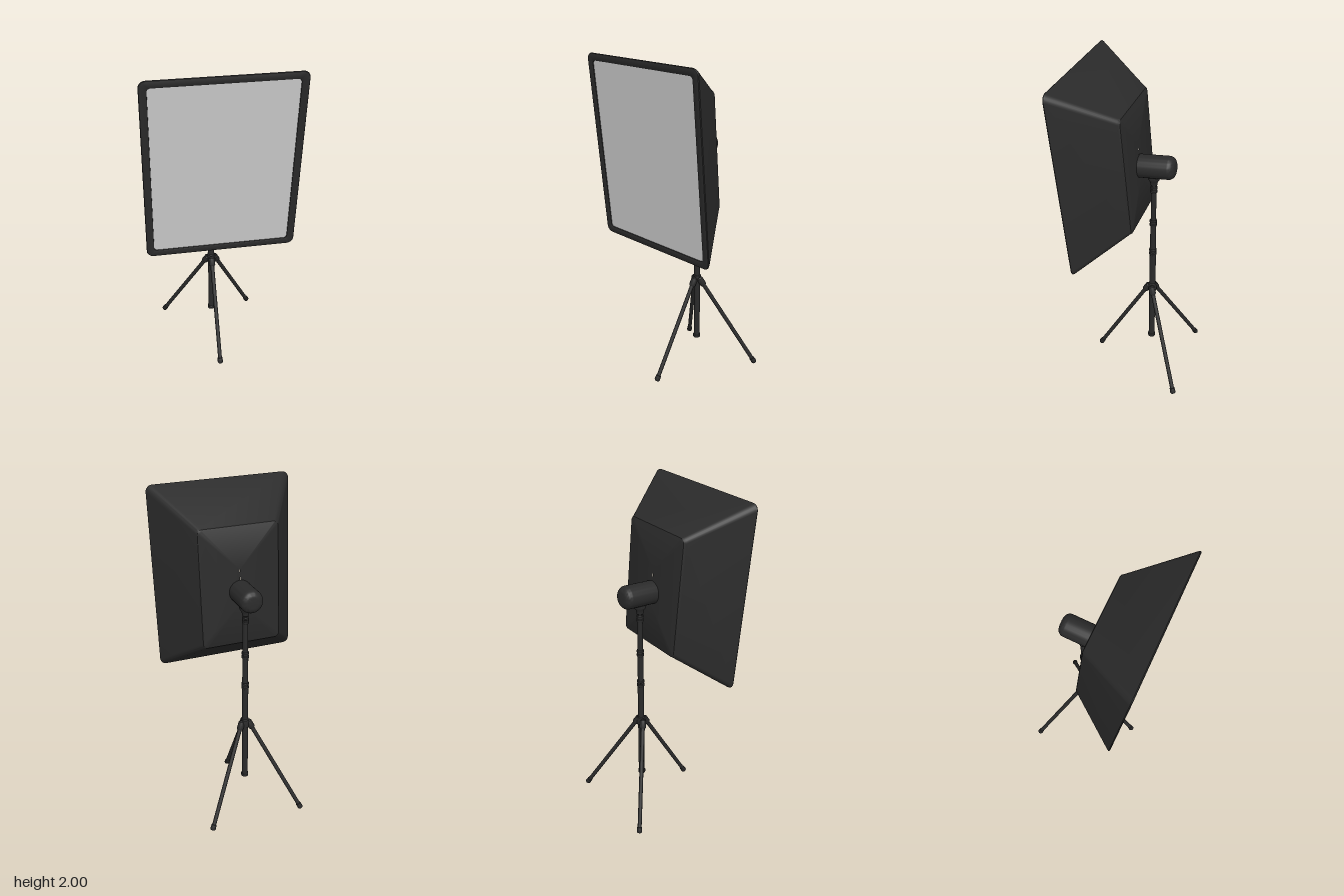
import * as THREE from 'three';
import { toCreasedNormals } from 'three/addons/utils/BufferGeometryUtils.js';

const black = new THREE.MeshStandardMaterial({ color: 0x2a2a2a });
const grey = new THREE.MeshStandardMaterial({ color: 0xcccccc });
const POLE_Z = -0.1;
const TILT = 0.0865;

// Points of a rounded rectangle, counter-clockwise
function roundedRect(w, h, r, steps = 6) {
  const pts = [];
  const corners = [[1, 1], [-1, 1], [-1, -1], [1, -1]];
  corners.forEach(([sx, sy], k) => {
    for (let i = 0; i <= steps; i++) {
      const a = (k + i / steps) * Math.PI / 2;
      pts.push([sx * (w / 2 - r) + r * Math.cos(a), sy * (h / 2 - r) + r * Math.sin(a)]);
    }
  });
  return pts;
}

// Skin over rounded rectangles [w, h, r, z]
function loft(sections) {
  const pos = [], index = [];
  sections.forEach(([w, h, r, z]) => roundedRect(w, h, r).forEach(([x, y]) => pos.push(x, y, z)));
  const n = pos.length / 3 / sections.length;
  for (let i = 0; i < sections.length - 1; i++) {
    for (let j = 0; j < n; j++) {
      const a = i * n + j, b = i * n + (j + 1) % n;
      index.push(a, b, b + n, a, b + n, a + n);
    }
  }
  const g = new THREE.BufferGeometry();
  g.setAttribute('position', new THREE.Float32BufferAttribute(pos, 3));
  g.setIndex(index);
  return toCreasedNormals(g, 0.6);
}

function lathe(points, segments = 32) {
  const g = new THREE.LatheGeometry(points.map(([r, y]) => new THREE.Vector2(r, y)), segments);
  return toCreasedNormals(g, 0.6);
}

function add(parent, name, geometry, material = black) {
  const mesh = new THREE.Mesh(geometry, material);
  mesh.name = name;
  parent.add(mesh);
  return mesh;
}

// Turned part whose own y axis runs from a towards b
function along(mesh, a, b) {
  mesh.position.copy(a);
  mesh.quaternion.setFromUnitVectors(new THREE.Vector3(0, 1, 0), b.clone().sub(a).normalize());
}

function createLampHead() {
  const head = new THREE.Group();
  head.name = 'lampHead';
  head.position.set(0, 1.452, 0.302);
  head.rotation.x = TILT;

  // Tapered shade with a rounded front rim and a shallow recess
  add(head, 'shade', loft([
    [0.002, 0.2, 0.001, -0.318],
    [0.45, 0.68, 0.02, -0.318],
    [0.468, 0.698, 0.026, -0.314],
    [0.482, 0.712, 0.03, -0.302],
    [0.848, 1.09, 0.036, -0.012],
    [0.855, 1.098, 0.038, -0.004],
    [0.85, 1.093, 0.036, 0.001],
    [0.84, 1.083, 0.034, 0.003],
    [0.782, 1.026, 0.024, 0.003],
    [0.772, 1.016, 0.02, 0],
    [0.768, 1.012, 0.018, -0.008],
  ]));

  // Diffusing front panel
  const outline = new THREE.Shape(roundedRect(0.77, 1.014, 0.019).map(([x, y]) => new THREE.Vector2(x, y)));
  add(head, 'diffuserPanel', new THREE.ShapeGeometry(outline), grey).position.z = -0.004;

  // Lamp housing with a rounded rear end
  const profile = [[0.0005, 0], [0.067, 0]];
  for (let i = 0; i <= 8; i++) {
    const a = i / 8 * Math.PI / 2;
    profile.push([0.029 + 0.038 * Math.cos(a), 0.174 + 0.038 * Math.sin(a)]);
  }
  profile.push([0, 0.212]);
  const housing = add(head, 'lampHousing', lathe(profile, 40));
  housing.position.set(0, -0.03, -0.314);
  housing.rotation.x = -Math.PI / 2;
  return head;
}

function createPole() {
  const pole = new THREE.Group();
  pole.name = 'pole';
  pole.position.z = POLE_Z;

  // Telescoping tubes [name, radius, bottom, top]
  [['lowerTube', 0.019, 0.185, 0.87], ['middleTube', 0.0175, 0.87, 1.08], ['upperTube', 0.0155, 1.08, 1.36]]
    .forEach(([name, r, y0, y1]) => {
      add(pole, name, new THREE.CylinderGeometry(r, r, y1 - y0, 20)).position.y = (y0 + y1) / 2;
    });

  // Locking collars, each a pair of rings around a narrower waist
  [[0.87, 0.023], [1.08, 0.022], [1.31, 0.021]].forEach(([y, r]) => {
    add(pole, 'collar', lathe([
      [0, -0.021], [r - 0.002, -0.021], [r, -0.018], [r, -0.007], [r - 0.004, -0.004],
      [r - 0.004, 0.004], [r, 0.007], [r, 0.016], [r - 0.003, 0.02], [0, 0.02],
    ], 24)).position.y = y;
  });

  // End cap, leg hub and flared socket under the lamp
  add(pole, 'bottomCap', lathe([[0, 0.18], [0.022, 0.18], [0.023, 0.183], [0.023, 0.198], [0.019, 0.202]], 24));
  add(pole, 'legHub', lathe([
    [0.019, 0.565], [0.026, 0.57], [0.027, 0.6], [0.024, 0.622], [0.019, 0.626],
  ], 24));
  add(pole, 'lampSocket', lathe([
    [0.0155, 1.335], [0.02, 1.34], [0.022, 1.36], [0.036, 1.382], [0.036, 1.42], [0, 1.42],
  ], 24));
  return pole;
}

function createLeg(name, top, bottom) {
  const leg = new THREE.Group();
  leg.name = name;
  const length = top.distanceTo(bottom);
  along(leg, top, bottom);
  add(leg, 'legBracket', lathe([
    [0, -0.022], [0.014, -0.02], [0.02, -0.012], [0.02, 0.03], [0.016, 0.038], [0.012, 0.038],
  ], 20));
  add(leg, 'legTube', new THREE.CylinderGeometry(0.0125, 0.0125, length, 16)).position.y = length / 2;
  add(leg, 'foot', lathe([
    [0.0125, -0.032], [0.016, -0.03], [0.017, -0.004], [0.013, 0.004], [0, 0.006],
  ], 20)).position.y = length;
  return leg;
}

export function createModel() {
  const model = new THREE.Group();
  model.name = 'studioSoftboxLight';
  model.add(createLampHead(), createPole());

  // Tripod: one leg forward, two mirrored to the rear
  const v = (x, y, z) => new THREE.Vector3(x, y, z);
  model.add(createLeg('frontLeg', v(0, 0.592, -0.072), v(0, 0.012, 0.258)));
  for (const side of [-1, 1]) {
    model.add(createLeg(side > 0 ? 'leftLeg' : 'rightLeg', v(side * 0.026, 0.592, -0.105), v(side * 0.297, 0.012, -0.336)));
  }
  return model;
}
